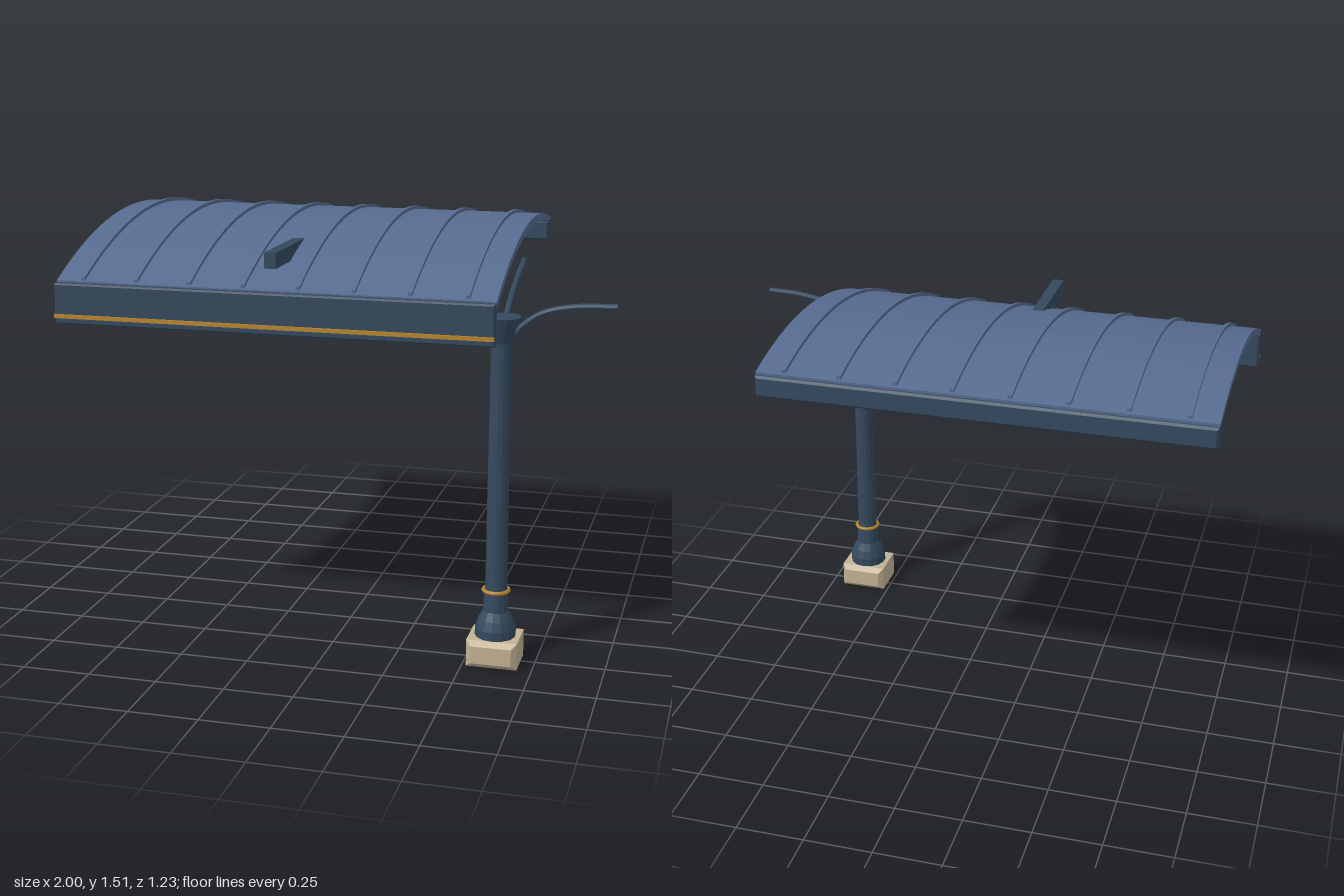
import * as THREE from 'three';

const flat = (color, name) => {
  const m = new THREE.MeshStandardMaterial({ color, flatShading: true });
  m.name = name;
  return m;
};

export function createModel() {
  const iron = flat(0x34495e, 'dark iron');
  const sheet = flat(0x566b90, 'blue sheet metal');
  const gold = flat(0xb8862f, 'gold trim');
  const stone = flat(0xc2b293, 'pale stone');
  const glass = flat(0xdec999, 'warm glass');

  const model = new THREE.Group();
  model.name = 'platformCanopy';
  const add = (name, geometry, material, x = 0, y = 0, z = 0, parent = model) => {
    const mesh = new THREE.Mesh(geometry, material);
    mesh.name = name;
    mesh.position.set(x, y, z);
    parent.add(mesh);
    return mesh;
  };

  // Centred block with chamfered front and back faces
  const chamferBlock = (w, h, d, bevel) => {
    const s = new THREE.Shape();
    const a = w / 2 - bevel, b = h / 2 - bevel;
    s.moveTo(-a, -b).lineTo(a, -b).lineTo(a, b).lineTo(-a, b).closePath();
    const g = new THREE.ExtrudeGeometry(s, {
      depth: d - 2 * bevel, bevelThickness: bevel, bevelSize: bevel, bevelSegments: 1,
    });
    return g.translate(0, 0, bevel - d / 2);
  };

  // Curved strip following the roof arc, extruded across x
  const roofY = z => 1.499 - 0.315 * (z + 0.18) ** 2;
  const arcStrip = (zFront, zBack, top, bottom, width) => {
    const n = 16, upper = [], lower = [];
    for (let i = 0; i <= n; i++) {
      const z = zFront + (zBack - zFront) * i / n;
      upper.push(new THREE.Vector2(-z, roofY(z) + top));
      lower.unshift(new THREE.Vector2(-z, roofY(z) + bottom));
    }
    const g = new THREE.ExtrudeGeometry(new THREE.Shape([...upper, ...lower]),
      { depth: width, bevelEnabled: false });
    return g.rotateY(Math.PI / 2).translate(-width / 2, 0, 0);
  };

  // Roof sheet with standing seams
  const roof = new THREE.Group();
  roof.name = 'roof';
  model.add(roof);
  add('roofSheet', arcStrip(0.58, -0.6, 0, -0.028, 1.6), sheet, -0.2, 0, 0, roof);
  for (let i = 0; i < 8; i++) {
    add('roofSeam', arcStrip(0.572, -0.59, 0.012, -0.005, 0.014), sheet, -0.9 + i * 0.2, 0, 0, roof);
  }

  // Front fascia, gold strip, back beam and cross beam
  add('frontFascia', chamferBlock(1.6, 0.148, 0.04, 0.006), iron, -0.2, 1.238, 0.59);
  add('fasciaStrip', new THREE.BoxGeometry(1.6, 0.014, 0.012), gold, -0.2, 1.194, 0.612);
  add('backBeam', chamferBlock(1.6, 0.078, 0.076, 0.008), iron, -0.2, 1.395, -0.578);
  add('crossBeam', new THREE.BoxGeometry(0.042, 0.056, 1.13), iron, -0.2, 1.42, 0.005);

  // Hanging globe lamp
  const lamp = new THREE.Group();
  lamp.name = 'lamp';
  lamp.position.set(-0.2, 0, 0.025);
  model.add(lamp);
  add('lampCap', new THREE.CylinderGeometry(0.082, 0.052, 0.036, 16), iron, 0, 1.378, 0, lamp);
  add('lampRing', new THREE.TorusGeometry(0.081, 0.006, 6, 24).rotateX(Math.PI / 2), gold, 0, 1.396, 0, lamp);
  add('lampGlobe', new THREE.SphereGeometry(0.088, 16, 12), glass, 0, 1.296, 0, lamp);

  // Column on a stone foot
  const column = new THREE.Group();
  column.name = 'column';
  column.position.set(0.607, 0, 0.517);
  model.add(column);
  add('footBlock', chamferBlock(0.182, 0.1, 0.182, 0.018), stone, 0, 0.05, 0, column);
  const profile = [[0, 0.098], [0.073, 0.098], [0.073, 0.132], [0.062, 0.165], [0.046, 0.195],
    [0.041, 0.27], [0.039, 0.29], [0.035, 1.165], [0.068, 1.256], [0, 1.256]];
  add('shaft', new THREE.LatheGeometry(profile.map(p => new THREE.Vector2(...p)), 14), iron, 0, 0, 0, column);
  add('shaftRing', new THREE.TorusGeometry(0.045, 0.007, 6, 24).rotateX(Math.PI / 2), gold, 0, 0.27, 0, column);

  // Curved bracket arms; each path is [reach, height]
  const arm = (name, points, turn) => {
    const path = new THREE.CatmullRomCurve3(points.map(([r, y]) => new THREE.Vector3(r, y, 0)));
    const mesh = add(name, new THREE.TubeGeometry(path, 18, 0.011, 8), iron, 0, 0, 0, column);
    mesh.rotation.y = turn;
    // Closed tip
    const [r, y] = points[points.length - 1];
    add(name + 'Tip', new THREE.CylinderGeometry(0.011, 0.011, 0.004, 8).rotateZ(Math.PI / 2), iron, r, y, 0, mesh);
  };
  const sideArm = [[0.02, 1.165], [0.07, 1.225], [0.14, 1.274], [0.25, 1.3], [0.388, 1.306]];
  arm('leftArm', sideArm, 0);
  arm('rightArm', sideArm, Math.PI);
  arm('backArm', [[0.02, 1.155], [0.07, 1.21], [0.14, 1.268], [0.29, 1.332], [0.445, 1.376]], Math.PI / 2);

  return model;
}
